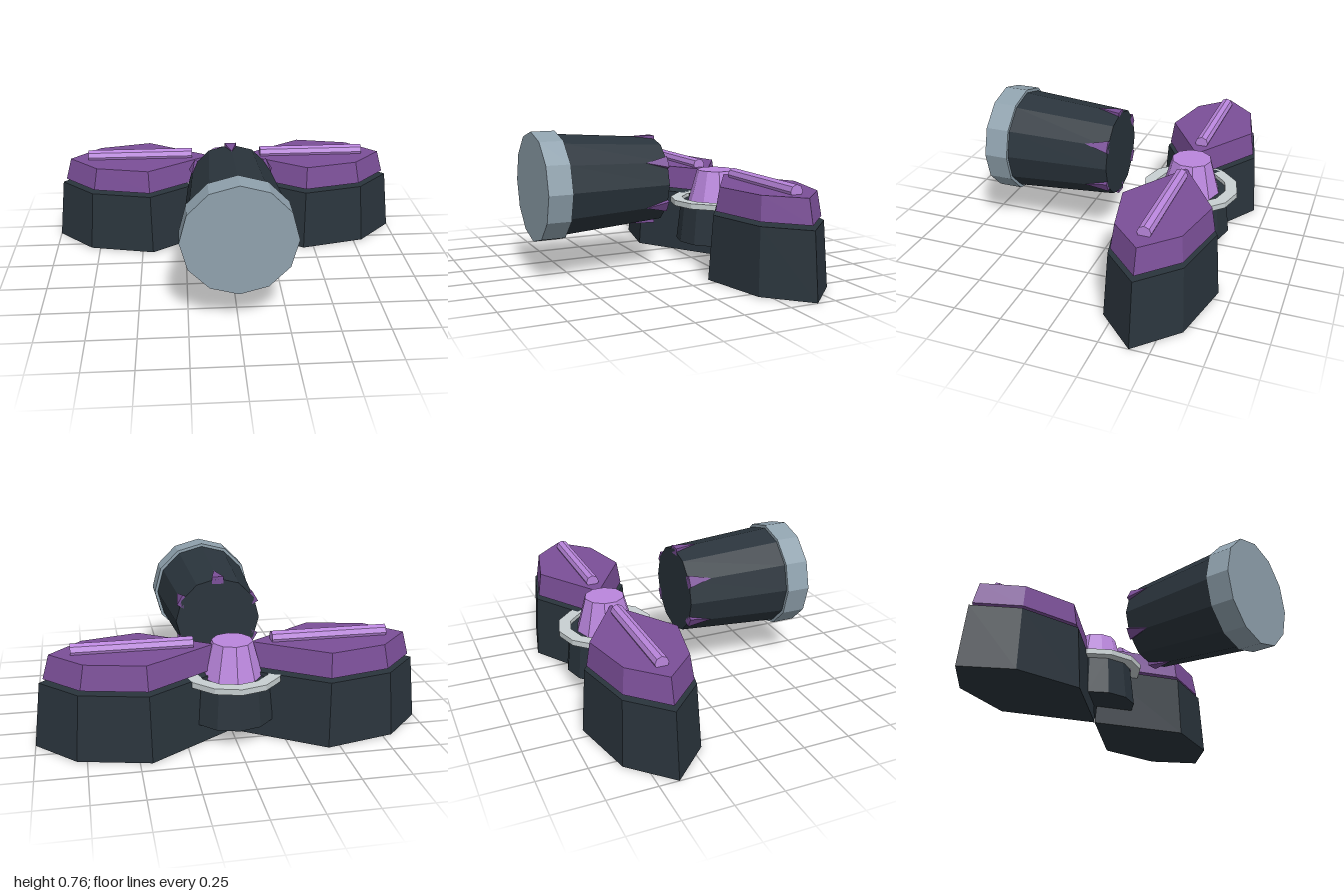
import * as THREE from 'three';

const paint = (color) => new THREE.MeshStandardMaterial({ color, flatShading: true, roughness: 0.8 });

export function createModel() {
  const model = new THREE.Group();
  const dark = paint(0x2a343c), steel = paint(0x90a2ae), purple = paint(0x7b4f98),
    lilac = paint(0xba86dd), silver = paint(0xc8d0d2);

  const add = (parent, name, geometry, material, x = 0, y = 0, z = 0) => {
    const mesh = new THREE.Mesh(geometry, material);
    mesh.name = name;
    mesh.position.set(x, y, z);
    parent.add(mesh);
    return mesh;
  };

  // Kite-shaped slab that shrinks towards its middle (x = 0.5) as it rises
  const outline = [[0, 0], [0.44, -0.28], [0.8, -0.2], [1, 0], [0.8, 0.2], [0.44, 0.28]]
    .map(([x, y]) => new THREE.Vector2(x - 0.5, y));
  const slab = (y0, y1, s0, s1) => {
    const g = new THREE.ExtrudeGeometry(new THREE.Shape(outline), { depth: 1, bevelEnabled: false });
    g.rotateX(-Math.PI / 2);
    const p = g.attributes.position;
    for (let i = 0; i < p.count; i++) {
      const t = p.getY(i), s = s0 + (s1 - s0) * t;
      p.setXYZ(i, 0.5 + p.getX(i) * s, y0 + (y1 - y0) * t, p.getZ(i) * s);
    }
    g.computeVertexNormals();
    return g;
  };

  // Bow-tie body: two mirrored wings around a hub
  const bow = new THREE.Group();
  bow.name = 'bow';
  bow.position.z = -0.4;
  model.add(bow);
  for (const side of ['left', 'right']) {
    const wing = new THREE.Group();
    wing.name = side + 'Wing';
    if (side === 'right') wing.rotation.y = Math.PI;
    add(wing, 'wingBase', slab(0, 0.34, 1, 0.92), dark);
    add(wing, 'wingCover', slab(0.36, 0.485, 0.88, 0.81), purple);
    const rod = new THREE.CylinderGeometry(0.035, 0.035, 0.6, 8).rotateZ(Math.PI / 2);
    add(wing, 'wingRod', rod, lilac, 0.5, 0.5, 0);
    bow.add(wing);
  }

  // Hub, its collar and the knob on top
  add(bow, 'hub', new THREE.CylinderGeometry(0.195, 0.22, 0.22, 12), dark, 0, 0.21, 0);
  const ringProfile = [[0.2, 0.31], [0.255, 0.31], [0.255, 0.34], [0.19, 0.34], [0.19, 0.31]]
    .map(([r, y]) => new THREE.Vector2(r, y));
  add(bow, 'hubCollar', new THREE.LatheGeometry(ringProfile, 12), silver);
  add(bow, 'hubKnob', new THREE.CylinderGeometry(0.105, 0.158, 0.19, 10), lilac, 0, 0.405, 0);

  // Twelve-sided barrel lying along z, with a wider front cap
  const barrel = new THREE.Group();
  barrel.name = 'barrel';
  barrel.position.y = 0.473;
  model.add(barrel);
  const lying = (front, back, length) =>
    new THREE.CylinderGeometry(front, back, length, 12).rotateX(Math.PI / 2);
  add(barrel, 'barrelBody', lying(0.27, 0.23, 0.55), dark, 0, 0, 0.275);
  add(barrel, 'barrelCap', lying(0.287, 0.287, 0.127), steel, 0, 0, 0.6135);

  // Six pointed spikes set into the back edge of the barrel
  const point = new THREE.Shape([[-0.032, 0], [0.032, 0], [0, -0.125]].map(([x, y]) => new THREE.Vector2(x, y)));
  const spike = new THREE.ExtrudeGeometry(point, { depth: 0.04, bevelEnabled: false })
    .rotateX(-Math.PI / 2).translate(0, 0.2, 0);
  for (let i = 0; i < 6; i++) {
    add(barrel, 'barrelSpike', spike, purple).rotation.z = i * Math.PI / 3;
  }
  return model;
}
